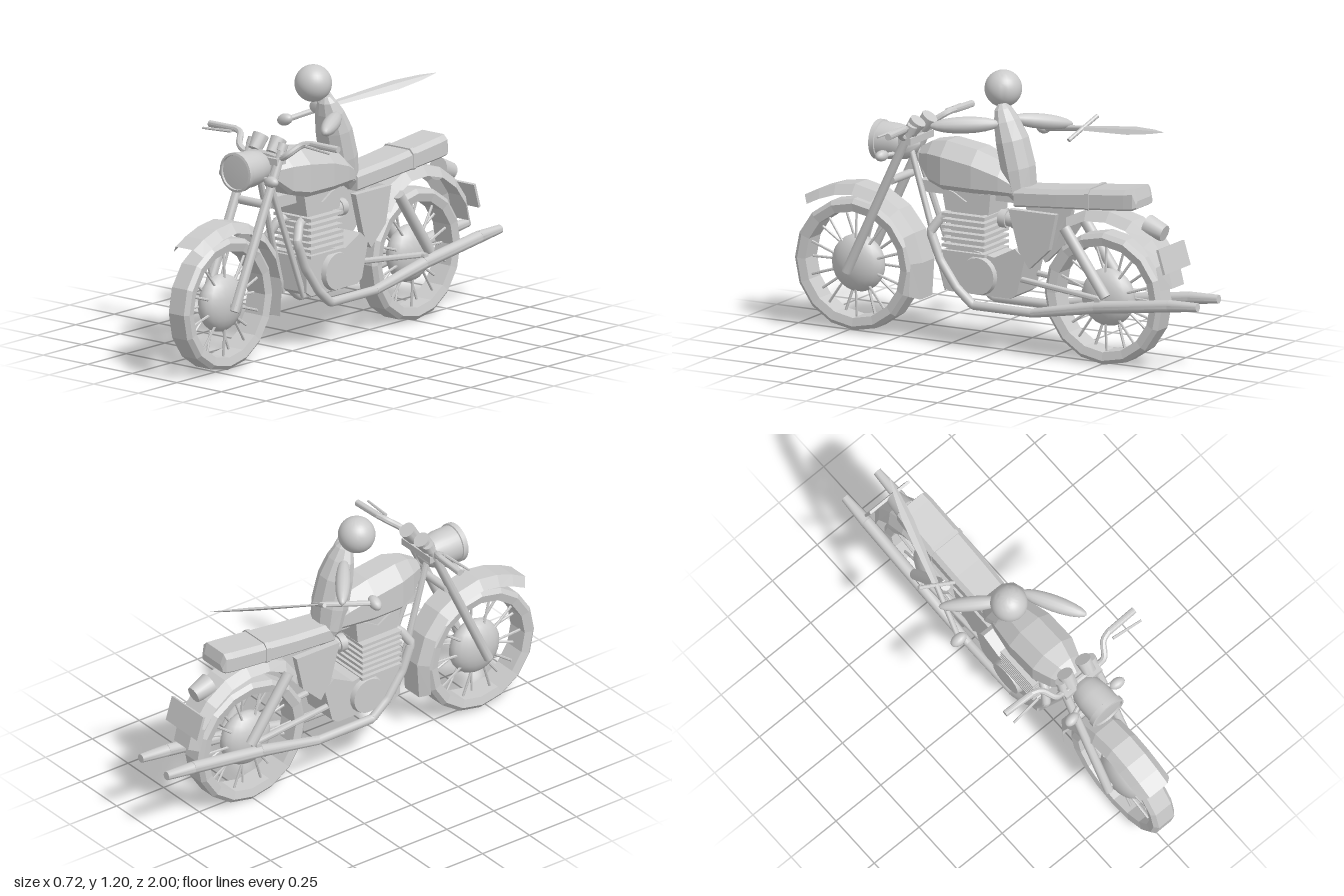
import * as THREE from 'three';
import { toCreasedNormals } from 'three/addons/utils/BufferGeometryUtils.js';

const flat = new THREE.MeshStandardMaterial({ color: 0xcccccc, flatShading: true, side: THREE.DoubleSide });
const smooth = new THREE.MeshStandardMaterial({ color: 0xcccccc });
const V = (x, y, z) => new THREE.Vector3(x, y, z);

function add(parent, name, geo, mat = smooth) {
  const mesh = new THREE.Mesh(mat === smooth ? toCreasedNormals(geo, 0.7) : geo, mat);
  mesh.name = name;
  parent.add(mesh);
  return mesh;
}

// Skin over equal-sized rings; closed rings get end caps and outward winding
function loft(rings, closed = true) {
  const n = rings[0].length, pos = [], idx = [];
  rings.forEach(r => r.forEach(p => pos.push(p.x, p.y, p.z)));
  for (let i = 0; i < rings.length - 1; i++) {
    for (let j = 0; j < (closed ? n : n - 1); j++) {
      const a = i * n + j, b = i * n + (j + 1) % n;
      idx.push(a, b, a + n, b, b + n, a + n);
    }
  }
  if (closed) {
    const e = (rings.length - 1) * n;
    for (let j = 1; j < n - 1; j++) idx.push(0, j + 1, j, e, e + j, e + j + 1);
    let vol = 0;
    const p = k => V(pos[3 * k], pos[3 * k + 1], pos[3 * k + 2]);
    for (let t = 0; t < idx.length; t += 3) vol += p(idx[t]).dot(p(idx[t + 1]).cross(p(idx[t + 2])));
    if (vol < 0) idx.reverse();
  }
  const g = new THREE.BufferGeometry();
  g.setAttribute('position', new THREE.Float32BufferAttribute(pos, 3));
  g.setIndex(idx);
  g.computeVertexNormals();
  return g;
}

// Bevelled rectangular ring in the xy plane at depth z
function bevelRing(z, w, y0, y1, b = 0.03) {
  const c = Math.min(b, (y1 - y0) * 0.45, w * 0.6);
  return [[w, y0 + c * 0.4], [w, y1 - c], [w - c, y1], [c - w, y1], [-w, y1 - c], [-w, y0 + c * 0.4], [c * 0.4 - w, y0], [w - c * 0.4, y0]]
    .map(([x, y]) => V(x, y, z));
}

// Round bar between two points
function bar(parent, name, a, b, r0, r1 = r0, sides = 10) {
  const m = add(parent, name, new THREE.CylinderGeometry(r1, r0, a.distanceTo(b), sides));
  m.position.copy(a).lerp(b, 0.5);
  m.quaternion.setFromUnitVectors(V(0, 1, 0), b.clone().sub(a).normalize());
  return m;
}

// Stretched ball whose long axis runs from a to b
function limb(parent, name, a, b, r) {
  const m = add(parent, name, new THREE.SphereGeometry(1, 14, 10));
  m.position.copy(a).lerp(b, 0.5);
  m.quaternion.setFromUnitVectors(V(0, 1, 0), b.clone().sub(a).normalize());
  m.scale.set(r, a.distanceTo(b) / 2, r);
}

function path(points) {
  const p = new THREE.CurvePath();
  for (let i = 1; i < points.length; i++) p.add(new THREE.LineCurve3(points[i - 1], points[i]));
  return p;
}

function wheel(name, y, z) {
  const g = new THREE.Group();
  g.name = name;
  const profile = [[0.232, -0.05], [0.268, -0.058], [0.287, -0.042], [0.287, 0.042], [0.268, 0.058], [0.232, 0.05], [0.232, -0.05]];
  add(g, 'tyre', new THREE.LatheGeometry(profile.map(p => new THREE.Vector2(...p)), 16).rotateZ(Math.PI / 2), flat);
  add(g, 'hub', new THREE.SphereGeometry(0.125, 20, 12).scale(0.55, 1, 1));
  for (let i = 0; i < 20; i++) {
    const a = (i / 20) * Math.PI * 2, s = i % 2 ? 0.025 : -0.025;
    bar(g, 'spoke', V(s, Math.sin(a) * 0.1, Math.cos(a) * 0.1), V(s * 0.6, Math.sin(a) * 0.24, Math.cos(a) * 0.24), 0.006, 0.006, 6);
  }
  g.position.set(0, y, z);
  return g;
}

// Mudguard: trapezoid section swept round the wheel; stops are [degrees, radius]
function mudguard(stops, y, z) {
  return loft(stops.map(([deg, R]) => {
    const a = deg * Math.PI / 180;
    return [[-0.082, R - 0.042], [-0.05, R], [0.05, R], [0.082, R - 0.042]]
      .map(([x, r]) => V(x, y + Math.sin(a) * r, z + Math.cos(a) * r));
  }), false);
}

export function createModel() {
  const model = new THREE.Group();
  model.name = 'motorcycleWithRider';
  const bike = new THREE.Group();
  bike.name = 'motorcycle';
  bike.position.x = -0.006;
  model.add(bike);

  // Wheels and mudguards
  bike.add(wheel('frontWheel', 0.3, 0.71), wheel('rearWheel', 0.292, -0.51));
  add(bike, 'frontMudguard', mudguard([[50, 0.365], [62, 0.355], [76, 0.352], [92, 0.355], [110, 0.352], [130, 0.35], [150, 0.348], [172, 0.345], [199, 0.35]], 0.3, 0.71), flat);
  add(bike, 'rearMudguard', mudguard([[47, 0.35], [62, 0.38], [78, 0.388], [95, 0.386], [112, 0.384], [130, 0.377], [148, 0.37], [166, 0.352]], 0.292, -0.51), flat);

  // Fuel tank, seat and strap
  add(bike, 'fuelTank', loft([
    [0.39, 0.045, 0.77, 0.85], [0.33, 0.08, 0.71, 0.882], [0.25, 0.11, 0.69, 0.895], [0.1, 0.112, 0.69, 0.873],
    [-0.02, 0.092, 0.69, 0.83], [-0.08, 0.075, 0.69, 0.785], [-0.1, 0.06, 0.71, 0.74],
  ].map(([z, w, a, b]) => bevelRing(z, w, a, b, 0.06))), flat);
  add(bike, 'seat', loft([
    [-0.09, 0.078, 0.65, 0.73], [-0.3, 0.083, 0.668, 0.748], [-0.45, 0.084, 0.68, 0.765], [-0.63, 0.083, 0.695, 0.785],
    [-0.67, 0.08, 0.7, 0.79], [-0.685, 0.07, 0.708, 0.74],
  ].map(([z, w, a, b]) => bevelRing(z, w, a, b, 0.02))), flat);
  add(bike, 'seatStrap', loft([[-0.44, 0.088, 0.678, 0.77], [-0.46, 0.088, 0.679, 0.772]].map(a => bevelRing(...a, 0.02))), flat);

  // Engine: crankcase, finned barrel, head and carburettor
  const caseShape = new THREE.Shape([[0.25, 0.27], [0.25, 0.42], [0.2, 0.46], [0, 0.42], [-0.1, 0.47], [-0.15, 0.43], [-0.11, 0.27], [-0.08, 0.25], [0.22, 0.25]]
    .map(([z, y]) => new THREE.Vector2(-z, y)));
  const slab = (shape, w) => new THREE.ExtrudeGeometry(shape, { depth: w, bevelEnabled: false }).translate(0, 0, -w / 2).rotateY(Math.PI / 2);
  add(bike, 'crankcase', slab(caseShape, 0.17), flat);
  add(bike, 'barrel', new THREE.BoxGeometry(0.14, 0.3, 0.16).translate(0, 0.54, 0.14), flat);
  for (let i = 0; i < 7; i++) {
    add(bike, 'coolingFin', new THREE.BoxGeometry(0.21, 0.013, 0.21).translate(0, 0.425 + i * 0.027, 0.14), flat);
  }
  const headShape = new THREE.Shape([[0.26, 0.7], [0.24, 0.6], [0.03, 0.6], [0.02, 0.7], [0.08, 0.68], [0.14, 0.645], [0.2, 0.68]]
    .map(([z, y]) => new THREE.Vector2(-z, y)));
  add(bike, 'cylinderHead', slab(headShape, 0.16), flat);
  for (const [z, r] of [[-0.005, 0.04], [-0.035, 0.032], [-0.065, 0.038]]) {
    add(bike, 'carburettor', new THREE.CylinderGeometry(r, r, 0.034, 14).rotateX(Math.PI / 2).translate(0, 0.575, z));
  }
  add(bike, 'frameBackbone', new THREE.BoxGeometry(0.06, 0.05, 0.75).translate(0, 0.68, 0.02), flat);

  // Headlight with rim and lens
  const lamp = [[0, -0.09], [0.045, -0.07], [0.07, -0.03], [0.078, 0.02], [0.08, 0.09], [0.086, 0.092], [0.086, 0.115], [0.076, 0.117], [0.074, 0.108], [0, 0.112]];
  add(bike, 'headlight', new THREE.LatheGeometry(lamp.map(p => new THREE.Vector2(...p)), 28).rotateX(Math.PI / 2).translate(0, 0.85, 0.5));

  // Handlebar
  const half = [[0.03, 0.9, 0.43], [0.1, 0.895, 0.43], [0.135, 0.915, 0.43], [0.175, 0.955, 0.38], [0.22, 0.963, 0.365]];
  const hb = [...half.map(([x, y, z]) => V(-x, y, z)).reverse(), ...half.map(p => V(...p))];
  add(bike, 'handlebar', new THREE.TubeGeometry(new THREE.CatmullRomCurve3(hb), 40, 0.014, 8));

  // Paired parts on both sides
  const panel = new THREE.Shape([[-0.07, 0.64], [-0.3, 0.64], [-0.265, 0.48], [-0.17, 0.39], [-0.12, 0.46]].map(([z, y]) => new THREE.Vector2(-z, y)));
  for (const s of [1, -1]) {
    const x = s * 0.087;
    bar(bike, 'frontFork', V(x, 0.275, 0.72), V(x, 0.93, 0.41), 0.021, 0.019, 14);
    bar(bike, 'forkCap', V(x * 0.95, 0.92, 0.415), V(x * 0.95, 0.95, 0.4), 0.024, 0.024, 14);
    bar(bike, 'downTube', V(s * 0.022, 0.86, 0.45), V(s * 0.06, 0.25, 0.24), 0.014);
    bar(bike, 'rearShock', V(x, 0.59, -0.345), V(x, 0.31, -0.545), 0.024, 0.024, 12);
    bar(bike, 'swingArm', V(s * 0.07, 0.34, -0.1), V(s * 0.07, 0.292, -0.53), 0.013);
    bar(bike, 'handGrip', V(s * 0.215, 0.962, 0.367), V(s * 0.36, 0.96, 0.362), 0.015, 0.015, 12);
    bar(bike, 'controlLever', V(s * 0.21, 0.958, 0.4), V(s * 0.355, 0.952, 0.415), 0.007, 0.005, 6);
    bar(bike, 'instrument', V(s * 0.05, 0.91, 0.43), V(s * 0.05, 0.965, 0.39), 0.03, 0.036, 18);
    limb(bike, 'turnSignal', V(s * 0.09, 0.812, 0.52), V(s * 0.162, 0.812, 0.53), 0.024);
    bar(bike, 'signalStem', V(s * 0.07, 0.812, 0.5), V(s * 0.12, 0.812, 0.52), 0.01);
    add(bike, 'sidePanel', slab(panel, 0.03).translate(s * 0.07, 0, 0), flat);
    bar(bike, 'engineCover', V(s * 0.06, 0.335, 0.07), V(s * 0.108, 0.335, 0.07), 0.092, 0.08, 20);
    // Exhaust: header pipe, then a muffler that swells and narrows
    const pipe = [[0.04, 0.58, 0.22], [0.06, 0.565, 0.27], [0.085, 0.5, 0.31], [0.087, 0.38, 0.26], [0.088, 0.27, 0.18], [0.088, 0.202, 0.1], [0.09, 0.202, -0.2]];
    add(bike, 'exhaustPipe', new THREE.TubeGeometry(path(pipe.map(([a, y, z]) => V(s * a, y, z))), 60, 0.02, 10));
    bar(bike, 'mufflerFront', V(s * 0.09, 0.202, -0.19), V(s * 0.09, 0.262, -0.5), 0.02, 0.027, 14);
    bar(bike, 'muffler', V(s * 0.09, 0.262, -0.5), V(s * 0.09, 0.31, -0.86), 0.027, 0.027, 14);
    bar(bike, 'mufflerTip', V(s * 0.09, 0.31, -0.86), V(s * 0.09, 0.32, -0.998), 0.027, 0.019, 14);
  }
  bar(bike, 'forkBridge', V(-0.09, 0.7, 0.5), V(0.09, 0.7, 0.5), 0.018);
  add(bike, 'forkYoke', new THREE.BoxGeometry(0.2, 0.03, 0.06).translate(0, 0.88, 0.43), flat);
  for (const [y, z] of [[0.3, 0.71], [0.292, -0.51]]) bar(bike, 'axle', V(-0.1, y, z), V(0.1, y, z), 0.015);

  // Tail light and number plate
  bar(bike, 'tailLight', V(0, 0.625, -0.7), V(0, 0.6, -0.785), 0.05, 0.036, 16);
  const plate = add(bike, 'rearPlate', new THREE.BoxGeometry(0.22, 0.11, 0.012), flat);
  plate.position.set(0, 0.5, -0.828);
  plate.rotation.x = 0.3;

  // Rider
  const rider = new THREE.Group();
  rider.name = 'rider';
  model.add(rider);
  add(rider, 'head', new THREE.SphereGeometry(0.08, 32, 20).translate(-0.067, 1.125, 0.038));
  const torso = [[0.66, -0.105, 0.06, 0.035], [0.7, -0.085, 0.083, 0.058], [0.8, -0.065, 0.09, 0.072], [0.92, -0.035, 0.085, 0.068], [1.0, -0.008, 0.068, 0.052], [1.05, 0.01, 0.045, 0.035], [1.072, 0.015, 0.02, 0.016]];
  add(rider, 'torso', loft(torso.map(([y, z, w, d]) => Array.from({ length: 10 }, (_, i) => {
    const a = (i / 10) * Math.PI * 2;
    return V(-0.015 + Math.cos(a) * w, y - Math.sin(a) * d * 0.25, z + Math.sin(a) * d);
  }))), flat);
  limb(rider, 'leftArm', V(0.035, 0.995, -0.005), V(0.182, 0.985, 0.255), 0.036);
  limb(rider, 'rightArm', V(-0.04, 1.005, -0.01), V(-0.265, 0.955, -0.19), 0.033);
  limb(rider, 'rightHand', V(-0.325, 0.905, -0.035), V(-0.25, 0.93, -0.03), 0.026);

  // Sword: grip, crossguard and leaf-shaped blade
  const pommel = V(-0.285, 0.915, -0.03), guard = V(-0.21, 0.958, -0.27), tip = V(-0.06, 1.025, -0.75);
  bar(rider, 'swordGrip', pommel, guard, 0.012);
  const across = V(0.16, -0.09, 0.06).normalize();
  bar(rider, 'swordGuard', guard.clone().addScaledVector(across, -0.09), guard.clone().addScaledVector(across, 0.09), 0.009);
  const up = tip.clone().sub(guard).cross(across).normalize();
  add(rider, 'swordBlade', loft([[0, 0.017], [0.3, 0.024], [0.6, 0.03], [0.85, 0.017], [1, 0.001]].map(([t, w]) => {
    const c = guard.clone().lerp(tip, t);
    return [[w, 0], [0, w * 0.25], [-w, 0], [0, -w * 0.25]].map(([a, b]) => c.clone().addScaledVector(across, a).addScaledVector(up, b));
  })), flat);

  return model;
}
